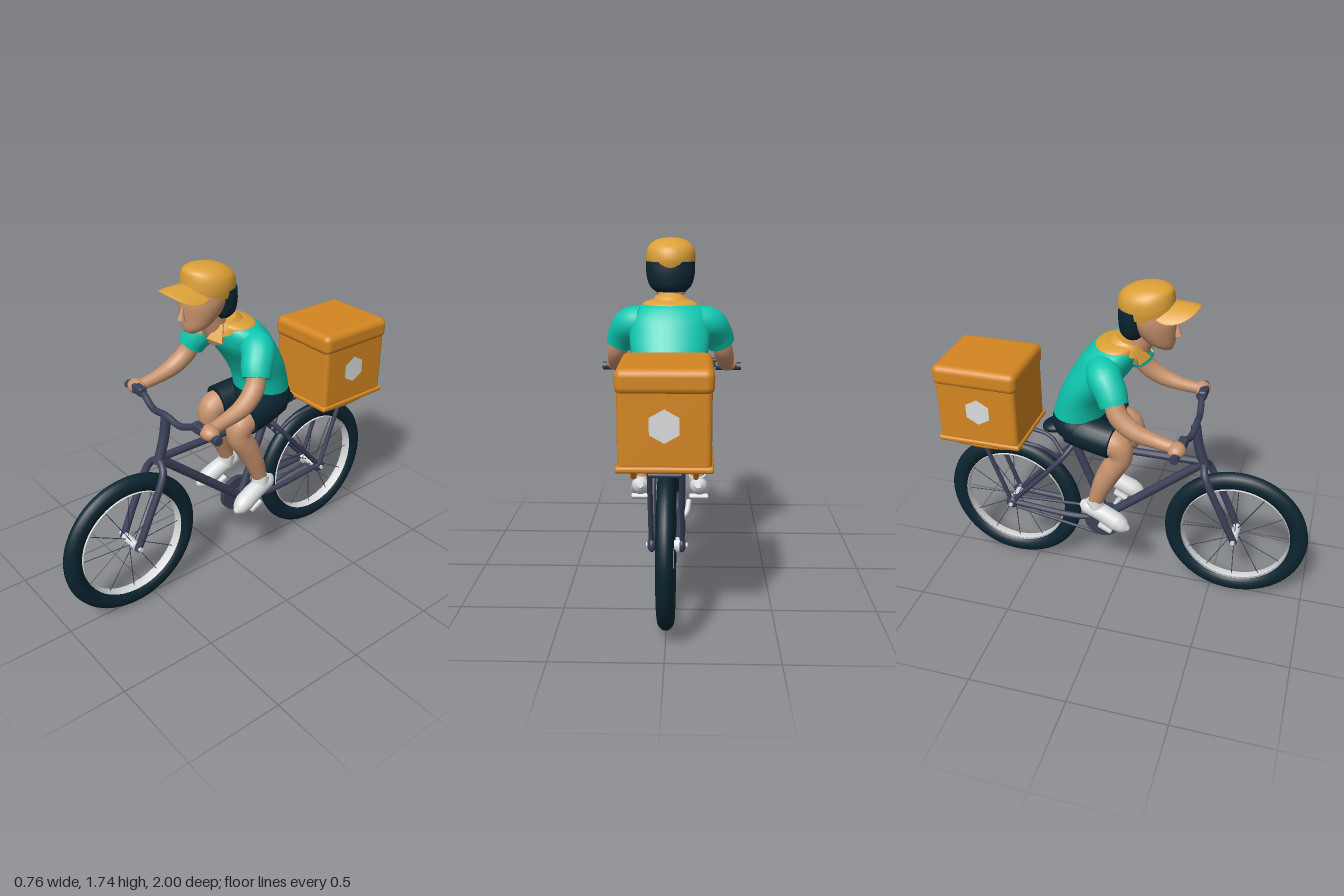
import * as THREE from 'three';
import { RoundedBoxGeometry } from 'three/addons/geometries/RoundedBoxGeometry.js';

const V = (x, y, z) => new THREE.Vector3(x, y, z);
const mat = (name, color) => {
  const m = new THREE.MeshStandardMaterial({ color });
  m.name = name;
  return m;
};

// Closed smooth surface through a series of rings, capped at both ends
function skinRings(rings) {
  const n = rings[0].length, pos = [], idx = [];
  rings.forEach(r => r.forEach(p => pos.push(p.x, p.y, p.z)));
  for (let i = 0; i < rings.length - 1; i++) for (let j = 0; j < n; j++) {
    const a = i * n + j, b = i * n + (j + 1) % n;
    idx.push(a, b, a + n, b, b + n, a + n);
  }
  [rings[0], rings[rings.length - 1]].forEach((ring, end) => {
    const base = pos.length / 3;
    const c = ring.reduce((s, p) => s.add(p), V(0, 0, 0)).divideScalar(n);
    [...ring, c].forEach(p => pos.push(p.x, p.y, p.z));
    for (let j = 0; j < n; j++) {
      const a = base + j, b = base + (j + 1) % n;
      if (end) idx.push(a, b, base + n); else idx.push(b, a, base + n);
    }
  });
  const g = new THREE.BufferGeometry();
  g.setAttribute('position', new THREE.Float32BufferAttribute(pos, 3));
  g.setIndex(idx);
  g.computeVertexNormals();
  return g;
}

// Tapered limb: points are [x, y, z, radius]; s mirrors it in x
function limb(pts, s = 1, steps = 16, n = 18) {
  const curve = new THREE.CatmullRomCurve3(pts.map(p => V(p[0] * s, p[1], p[2])));
  const f = curve.computeFrenetFrames(steps), rings = [];
  for (let i = 0; i <= steps; i++) {
    const u = i / steps, c = curve.getPointAt(u);
    const t = curve.getUtoTmapping(u) * (pts.length - 1);
    const k = Math.min(Math.floor(t), pts.length - 2);
    const r = THREE.MathUtils.lerp(pts[k][3], pts[k + 1][3], t - k);
    rings.push(Array.from({ length: n }, (_, j) => {
      const a = j / n * Math.PI * 2;
      return c.clone().addScaledVector(f.normals[i], r * Math.cos(a)).addScaledVector(f.binormals[i], r * Math.sin(a));
    }));
  }
  return skinRings(rings);
}

// Stack of horizontal ellipses: [y, centre z, half width, half depth]
function loft(rows, tilt = 0, n = 32) {
  const at = rows.map(r => V(r[0], r[1], r[2])), depth = rows.map(r => V(r[3], 0, 0));
  const ca = new THREE.CatmullRomCurve3(at), cd = new THREE.CatmullRomCurve3(depth);
  const steps = (rows.length - 1) * 4;
  return skinRings(Array.from({ length: steps + 1 }, (_, i) => {
    const p = ca.getPoint(i / steps), d = cd.getPoint(i / steps).x;
    return Array.from({ length: n }, (_, j) => {
      const a = j / n * Math.PI * 2, z = Math.cos(a) * d;
      return V(Math.sin(a) * p.z, p.x + z * tilt, p.y + z);
    });
  }));
}

export function createModel() {
  const model = new THREE.Group();
  const teal = mat('teal shirt', 0x0fc8b1), orange = mat('box orange', 0xd48621), yellow = mat('cap yellow', 0xdca038);
  const skin = mat('skin', 0xc8936e), dark = mat('dark navy', 0x0b2430), steel = mat('frame slate', 0x3a4058);
  const white = mat('light grey', 0xdadcde);
  const add = (name, geo, m, x = 0, y = 0, z = 0, parent = model) => {
    const mesh = new THREE.Mesh(geo, m);
    mesh.name = name;
    mesh.position.set(x, y, z);
    parent.add(mesh);
    return mesh;
  };
  const tube = (name, pts, r, m = steel, s = 1, closed = false) => {
    const c = new THREE.CatmullRomCurve3(pts.map(p => V(p[0] * s, p[1], p[2])), closed);
    return add(name, new THREE.TubeGeometry(c, pts.length > 2 ? 32 : 1, r, 12, closed), m);
  };
  const ball = (name, m, x, y, z, sx, sy, sz) =>
    add(name, new THREE.SphereGeometry(1, 24, 16).scale(sx, sy, sz), m, x, y, z);
  const sides = [-1, 1];

  // Wheels
  for (const [name, z] of [['front', 0.617], ['rear', -0.62]]) {
    const w = new THREE.Group();
    w.name = name + 'Wheel';
    w.position.set(0, 0.381, z);
    model.add(w);
    add('tyre', new THREE.TorusGeometry(0.333, 0.047, 16, 64).scale(1, 1, 0.83).rotateY(Math.PI / 2), dark, 0, 0, 0, w);
    const rim = new THREE.LatheGeometry([[0.29, -0.028], [0.284, -0.02], [0.284, 0.02], [0.29, 0.028], [0.29, -0.028]]
      .map(p => new THREE.Vector2(...p)), 64).rotateZ(Math.PI / 2);
    const rimMat = white.side === THREE.DoubleSide ? white : Object.assign(white, { side: THREE.DoubleSide });
    add('rim', rim, rimMat, 0, 0, 0, w);
    add('hub', new THREE.CylinderGeometry(0.022, 0.022, 0.11, 16).rotateZ(Math.PI / 2), white, 0, 0, 0, w);
    add('axle', new THREE.CylinderGeometry(0.012, 0.012, 0.19, 12).rotateZ(Math.PI / 2), white, 0, 0, 0, w);
    for (let i = 0; i < 12; i++) {
      const spoke = new THREE.CylinderGeometry(0.0022, 0.0022, 0.285, 5).translate(0, 0.1425, 0);
      const m = add('spoke', spoke.rotateZ(i % 2 ? 0.08 : -0.08), steel, i % 2 ? 0.022 : -0.022, 0, 0, w);
      m.rotation.x = i / 12 * Math.PI * 2;
    }
  }

  // Frame
  tube('stem', [[0, 1.02, 0.375], [0, 0.9, 0.395], [0, 0.77, 0.435]], 0.026);
  tube('topTube', [[0, 0.8, 0.42], [0, 0.8, -0.26]], 0.02);
  tube('downTube', [[0, 0.79, 0.42], [0, 0.36, -0.09]], 0.024);
  tube('seatTube', [[0, 0.89, -0.3], [0, 0.36, -0.09]], 0.022);
  for (const s of sides) {
    tube('forkBlade', [[0, 0.795, 0.428], [0.06, 0.75, 0.447], [0.072, 0.56, 0.535], [0.068, 0.365, 0.622]], 0.019, steel, s);
    tube('seatStay', [[0, 0.79, -0.265], [0.055, 0.72, -0.32], [0.065, 0.385, -0.62]], 0.014, steel, s);
    tube('chainStay', [[0, 0.36, -0.1], [0.055, 0.36, -0.2], [0.065, 0.385, -0.62]], 0.016, steel, s);
    tube('rackRail', [[0.02, 0.68, -0.33], [0.06, 0.77, -0.42], [0.07, 0.79, -0.5], [0.07, 0.79, -0.86]], 0.011, steel, s);
    tube('rackStrut', [[0.07, 0.8, -0.77], [0.07, 0.385, -0.62]], 0.012, steel, s);
    ball('dropout', steel, 0.068 * s, 0.383, -0.62, 0.02, 0.035, 0.035);
    // Cranks and pedals
    tube('crank', [[0.05, 0.31, -0.1], [0.085, 0.34, -0.08], [0.1, 0.4, -0.05]], 0.014, white, s);
    add('pedal', new RoundedBoxGeometry(0.1, 0.025, 0.08, 2, 0.008), white, 0.15 * s, 0.415, -0.045).rotation.x = 0.45;
  }
  tube('rackCrossbar', [[-0.07, 0.79, -0.86], [0.07, 0.79, -0.86]], 0.011);

  // Drivetrain on the right
  const disc = (r, w) => new THREE.CylinderGeometry(r, r, w, 32).rotateZ(Math.PI / 2);
  add('chainring', disc(0.1, 0.03), steel, -0.045, 0.355, -0.1);
  add('bottomBracket', disc(0.035, 0.12), steel, 0, 0.36, -0.09);
  add('sprocket', disc(0.035, 0.02), white, -0.05, 0.381, -0.62);
  tube('chainTop', [[-0.05, 0.44, -0.12], [-0.05, 0.416, -0.62]], 0.008);
  tube('chainBottom', [[-0.05, 0.257, -0.12], [-0.05, 0.346, -0.62]], 0.008);

  // Saddle, narrowing towards the front
  const seat = new THREE.SphereGeometry(1, 28, 18).scale(0.09, 0.035, 0.108);
  const sp = seat.attributes.position;
  for (let i = 0; i < sp.count; i++) sp.setX(i, sp.getX(i) * (0.7 - sp.getZ(i) * 4));
  seat.computeVertexNormals();
  add('saddle', seat, dark, 0, 0.9, -0.325).rotation.x = -0.12;

  // Handlebar
  tube('handlebar', [[-0.38, 1.035, 0.34], [-0.22, 1.045, 0.36], [-0.11, 1.01, 0.375], [0, 1.025, 0.38],
    [0.11, 1.01, 0.375], [0.22, 1.045, 0.36], [0.38, 1.035, 0.34]], 0.017);
  for (const s of sides) {
    add('grip', disc(0.022, 0.14), steel, 0.31 * s, 1.037, 0.348);
    add('brakeLever', new RoundedBoxGeometry(0.085, 0.05, 0.045, 2, 0.012), steel, 0.255 * s, 1.055, 0.362);
  }

  // Delivery box, its tray and plain pale patches
  add('boxBody', new RoundedBoxGeometry(0.39, 0.36, 0.43, 4, 0.025), orange, 0, 1.01, -0.72);
  add('boxLid', new RoundedBoxGeometry(0.408, 0.11, 0.45, 4, 0.035), orange, 0, 1.2, -0.72);
  add('boxBase', new RoundedBoxGeometry(0.408, 0.028, 0.45, 3, 0.012), orange, 0, 0.835, -0.72);
  for (const s of sides)
    tube('traySupport', [[0.13, 0.835, -0.52], [0.13, 0.795, -0.56], [0.13, 0.79, -0.88], [0.13, 0.83, -0.93]], 0.012, orange, s);
  for (const [x, z, turn] of [[-0.197, -0.71, -Math.PI / 2], [0.197, -0.71, Math.PI / 2], [0, -0.937, Math.PI]])
    add('boxPatch', new THREE.CircleGeometry(0.072, 6, Math.PI / 2), white, x, 1.02, z).rotation.y = turn;

  // Shirt
  add('shirt', loft([[1.0, -0.225, 0.155, 0.135], [1.1, -0.2, 0.168, 0.13], [1.2, -0.15, 0.19, 0.135], [1.3, -0.085, 0.2, 0.142],
    [1.36, -0.055, 0.195, 0.132], [1.4, -0.035, 0.165, 0.115], [1.42, -0.025, 0.13, 0.1]]), teal);
  add('yoke', loft([[1.4, -0.025, 0.15, 0.11], [1.42, -0.02, 0.135, 0.108], [1.438, 0, 0.09, 0.085]]), yellow);
  add('collar', loft([[1.4, 0.02, 0.11, 0.1], [1.425, 0.03, 0.095, 0.09], [1.447, 0.04, 0.076, 0.074]], -0.28), yellow);
  const lapel = new THREE.Shape([[0.02, -0.045], [0.105, -0.04], [0.075, 0.045], [0.055, 0.045]].map(p => new THREE.Vector2(...p)));
  for (const s of sides) {
    const g = new THREE.ExtrudeGeometry(lapel, { depth: 0.008, bevelEnabled: false }).translate(-0.06, 0, 0);
    if (s < 0) g.rotateY(Math.PI).translate(0, 0, 0.008);
    const m = add('lapel', g, yellow, 0.06 * s, 1.4, 0.105);
    m.rotation.set(-0.5, 0.4 * s, 0);
    add('sleeve', limb([[0.13, 1.325, -0.06, 0.085], [0.195, 1.318, -0.035, 0.085], [0.238, 1.26, 0.01, 0.077], [0.258, 1.213, 0.03, 0.07]], s), teal);
    // Arms and hands
    add('arm', limb([[0.25, 1.25, 0.02, 0.045], [0.27, 1.17, 0.05, 0.05], [0.285, 1.105, 0.13, 0.046],
      [0.288, 1.07, 0.24, 0.034], [0.295, 1.055, 0.32, 0.03]], s), skin);
    ball('hand', skin, 0.305 * s, 1.05, 0.345, 0.052, 0.038, 0.044);
    add('thumb', limb([[0.28, 1.06, 0.33, 0.018], [0.255, 1.05, 0.345, 0.017], [0.235, 1.035, 0.355, 0.008]], s), skin);

    // Legs, shorts and shoes
    add('shortsLeg', limb([[0.08, 0.945, -0.25, 0.085], [0.1, 0.935, -0.15, 0.09], [0.115, 0.917, -0.02, 0.09]], s), dark);
    add('leg', limb([[0.11, 0.92, -0.08, 0.07], [0.117, 0.9, 0, 0.073], [0.12, 0.84, 0.022, 0.062], [0.127, 0.76, -0.02, 0.062],
      [0.135, 0.67, -0.065, 0.055], [0.143, 0.53, -0.115, 0.036]], s, 28), skin);
    add('shoe', limb([[0.145, 0.525, -0.19, 0.015], [0.147, 0.515, -0.16, 0.042], [0.152, 0.485, -0.07, 0.047],
      [0.158, 0.445, 0.01, 0.05], [0.163, 0.425, 0.05, 0.038], [0.166, 0.415, 0.08, 0.01]], s, 24), white);
    add('shoeCollar', limb([[0.143, 0.56, -0.115, 0.044], [0.148, 0.49, -0.1, 0.045]], s, 4), white);
  }
  add('shortsSeat', loft([[0.88, -0.22, 0.11, 0.09], [0.92, -0.22, 0.165, 0.13], [0.97, -0.22, 0.172, 0.147], [1.015, -0.22, 0.155, 0.135]]), dark);

  // Neck and head
  add('neck', limb([[0, 1.34, 0.05, 0.058], [0, 1.42, 0.08, 0.064], [0, 1.52, 0.12, 0.066]]), skin);
  add('face', loft([[1.418, 0.215, 0.03, 0.03], [1.445, 0.195, 0.07, 0.06], [1.5, 0.165, 0.1, 0.095],
    [1.56, 0.145, 0.117, 0.118], [1.62, 0.13, 0.118, 0.125]]), skin);
  add('nose', new THREE.ConeGeometry(0.02, 0.075, 12), skin, 0, 1.525, 0.265).rotation.x = -0.15;
  add('hair', loft([[1.47, 0.06, 0.075, 0.05], [1.5, 0.06, 0.105, 0.07], [1.56, 0.06, 0.122, 0.076], [1.62, 0.065, 0.123, 0.08]]), dark);

  // Cap and curved brim
  add('capCrown', loft([[1.585, 0.115, 0.12, 0.13], [1.63, 0.115, 0.126, 0.137], [1.68, 0.12, 0.12, 0.128],
    [1.715, 0.14, 0.092, 0.1], [1.732, 0.155, 0.05, 0.055], [1.736, 0.16, 0.01, 0.01]], -0.02), yellow);
  const brim = new THREE.SphereGeometry(1, 32, 16).scale(0.122, 0.013, 0.13);
  const bp = brim.attributes.position;
  for (let i = 0; i < bp.count; i++) bp.setY(i, bp.getY(i) - bp.getX(i) ** 2 * 3.6);
  brim.computeVertexNormals();
  add('capBrim', brim, yellow, 0, 1.642, 0.242);

  return model;
}
